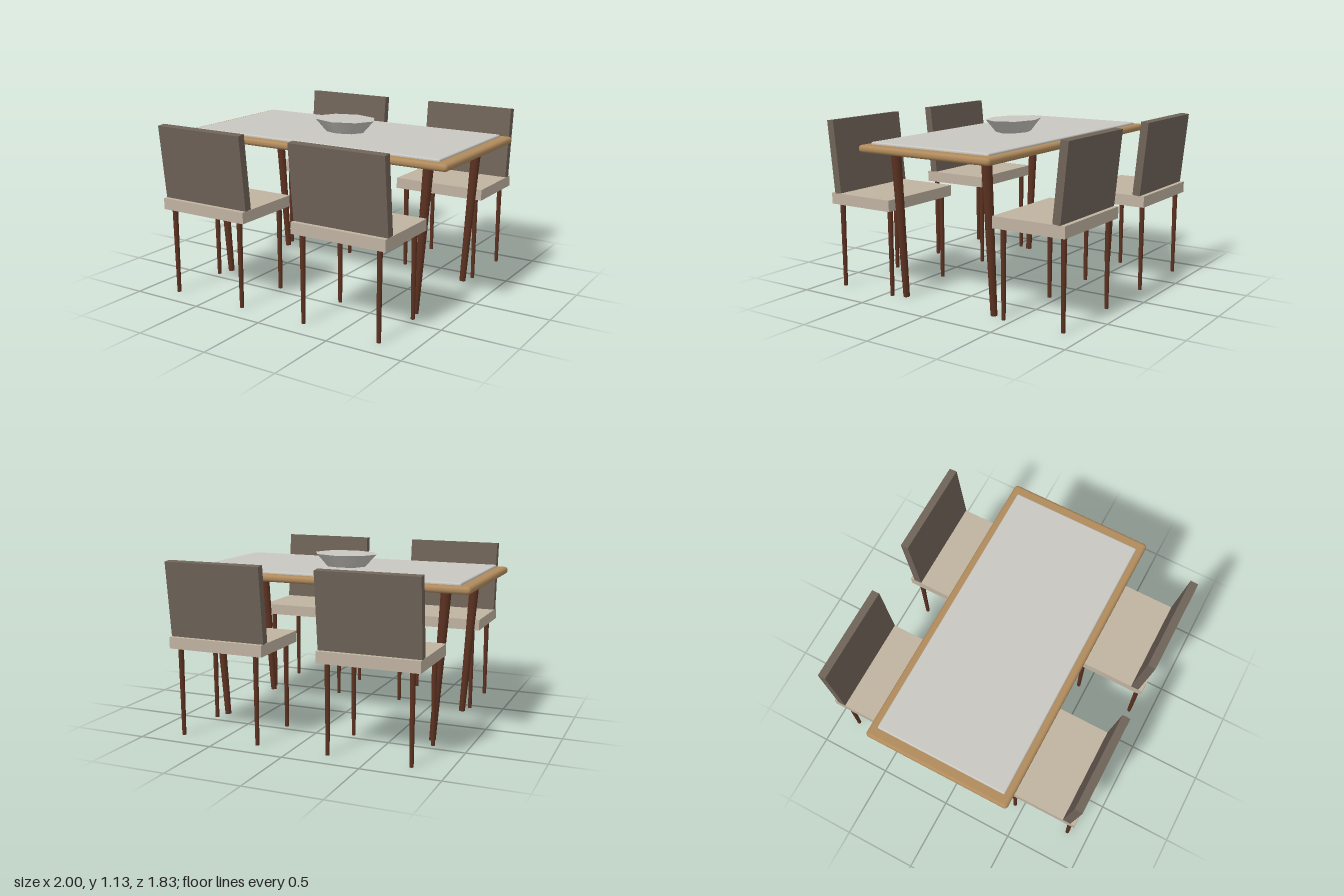
import * as THREE from 'three';
import { RoundedBoxGeometry } from 'three/addons/geometries/RoundedBoxGeometry.js';

const material = (name, color) => {
  const m = new THREE.MeshStandardMaterial({ color });
  m.name = name;
  return m;
};

export function createModel() {
  const wood = material('oak', 0xb08a5c);
  const darkWood = material('dark wood', 0x5c3221);
  const fabric = material('seat fabric', 0xbfb2a0);
  const backFabric = material('back fabric', 0x6f6358);
  const stone = material('pale stone', 0xc9c7c1);

  const model = new THREE.Group();
  model.name = 'diningSet';

  const add = (parent, name, geometry, mat, x, y, z) => {
    const mesh = new THREE.Mesh(geometry, mat);
    mesh.name = name;
    mesh.position.set(x, y, z);
    parent.add(mesh);
    return mesh;
  };

  // Table: rounded wooden top, inset slab and a shallow bowl
  const table = new THREE.Group();
  table.name = 'table';
  model.add(table);
  add(table, 'tableTop', new RoundedBoxGeometry(2, 0.048, 0.99, 2, 0.022), wood, 0, 0.994, 0);
  add(table, 'tableSlab', new RoundedBoxGeometry(1.86, 0.03, 0.89, 2, 0.01), stone, 0, 1.018, 0);
  const bowl = add(table, 'bowl', new THREE.CylinderGeometry(0.17, 0.107, 0.087, 8), stone, 0, 1.075, 0);
  bowl.scale.x = 1.3;

  // Table legs: tapered, leaning inward towards the floor
  const tableLeg = new THREE.CylinderGeometry(0.033, 0.021, 0.975, 10);
  for (const sx of [-1, 1]) {
    for (const sz of [-1, 1]) {
      const leg = add(table, 'tableLeg', tableLeg, darkWood, sx * 0.776, 0.488, sz * 0.347);
      leg.rotation.z = -sx * 0.071;
    }
  }

  // Chairs: the backrest side points along local +z
  const seat = new THREE.BoxGeometry(0.652, 0.074, 0.494);
  const back = new THREE.BoxGeometry(0.652, 0.485, 0.053);
  const chairLeg = new THREE.CylinderGeometry(0.018, 0.013, 0.575, 8);
  const makeChair = () => {
    const chair = new THREE.Group();
    chair.name = 'chair';
    add(chair, 'seat', seat, fabric, 0, 0.611, 0);
    add(chair, 'backrest', back, backFabric, 0, 0.89, 0.215).rotation.x = 0.1;
    for (const x of [-0.267, 0.267]) {
      for (const z of [-0.207, 0.209]) add(chair, 'chairLeg', chairLeg, darkWood, x, 0.2875, z);
    }
    return chair;
  };

  // Two chairs on each long side, facing the table
  for (const sx of [-1, 1]) {
    for (const sz of [-1, 1]) {
      const chair = makeChair();
      chair.position.set(sx * 0.507, 0, sz * 0.647);
      if (sz < 0) chair.rotation.y = Math.PI;
      model.add(chair);
    }
  }
  return model;
}
